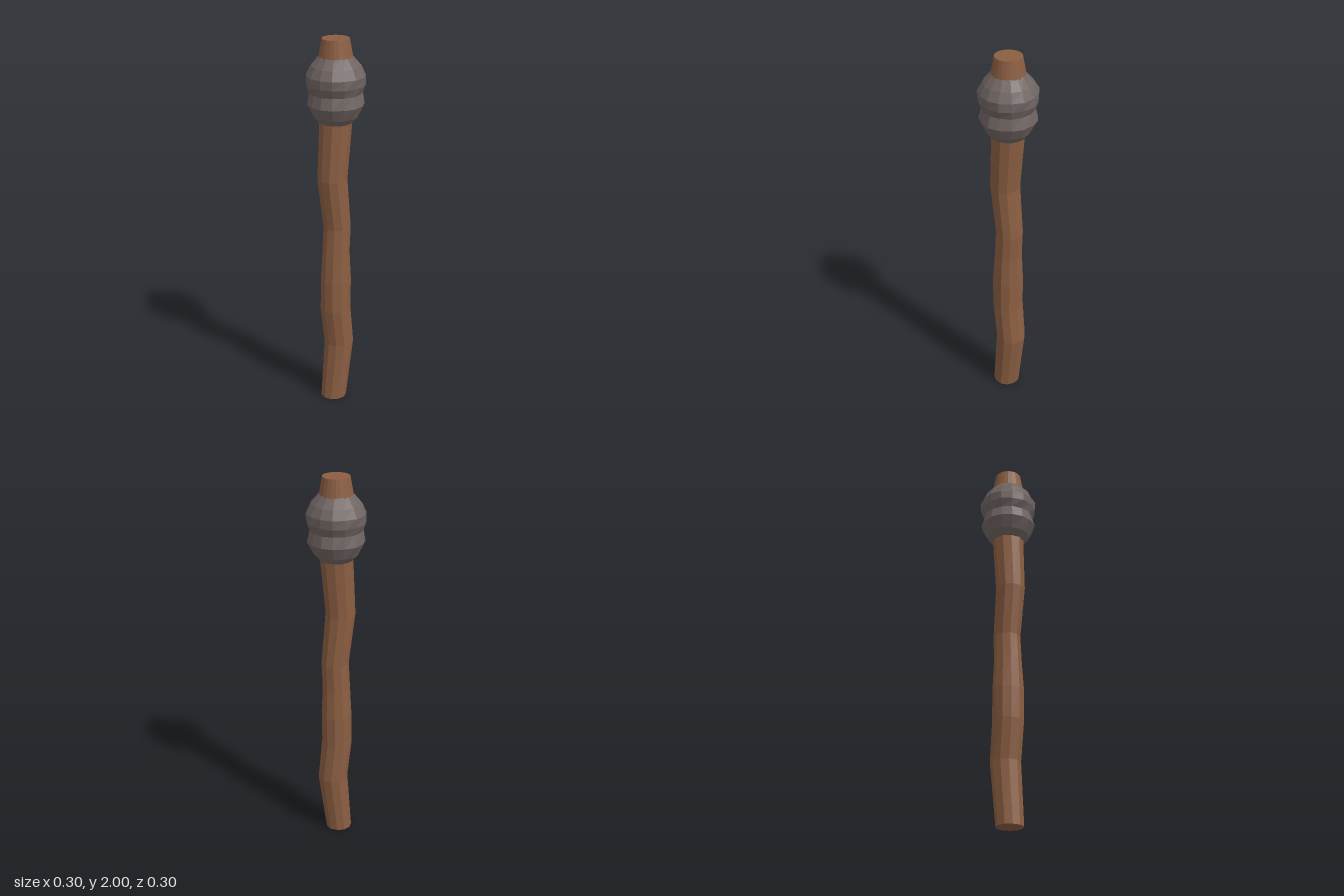
import * as THREE from 'three';

// Flat-shaded loft through rings of [y, radius x, radius z, centre z], with end caps
function loft(rings, sides, jitter, turn = 0) {
  const pos = [], idx = [];
  rings.forEach(([y, rx, rz, cz], i) => {
    for (let j = 0; j < sides; j++) {
      const a = (j / sides) * Math.PI * 2 + turn;
      const k = 1 + jitter * Math.sin(j * 2.4 + i * 1.9);
      pos.push(Math.sin(a) * rx * k, y, cz + Math.cos(a) * rz * k);
    }
  });
  for (let i = 0; i < rings.length - 1; i++) {
    for (let j = 0; j < sides; j++) {
      const a = i * sides + j, b = i * sides + ((j + 1) % sides);
      idx.push(a, b, b + sides, a, b + sides, a + sides);
    }
  }
  const last = rings.length - 1;
  const bottom = pos.length / 3, top = bottom + 1;
  pos.push(0, rings[0][0], rings[0][3], 0, rings[last][0], rings[last][3]);
  for (let j = 0; j < sides; j++) {
    const n = (j + 1) % sides;
    idx.push(bottom, n, j, top, last * sides + j, last * sides + n);
  }
  const geo = new THREE.BufferGeometry();
  geo.setAttribute('position', new THREE.Float32BufferAttribute(pos, 3));
  geo.setIndex(idx);
  const flat = geo.toNonIndexed();
  flat.computeVertexNormals();
  return flat;
}

export function createModel() {
  const group = new THREE.Group();
  const wood = new THREE.MeshStandardMaterial({ color: 0x8b5e42, flatShading: true });
  const stone = new THREE.MeshStandardMaterial({ color: 0x6f6462, flatShading: true });
  const add = (name, geo, mat) => {
    const mesh = new THREE.Mesh(geo, mat);
    mesh.name = name;
    group.add(mesh);
  };

  // Crooked wooden shaft, bending forward and back
  add('shaft', loft([
    [0, 0.07, 0.07, 0.015],
    [0.33, 0.079, 0.079, -0.021],
    [0.54, 0.081, 0.08, 0.003],
    [0.71, 0.081, 0.081, 0.001],
    [0.87, 0.073, 0.073, -0.001],
    [1.01, 0.07, 0.072, -0.008],
    [1.28, 0.076, 0.078, 0.023],
    [1.59, 0.084, 0.085, 0],
    [1.91, 0.087, 0.087, 0],
  ], 11, 0.015, 0.2), wood);

  // Tapered end of the shaft above the head
  const tip = new THREE.CylinderGeometry(0.069, 0.087, 0.1, 22);
  tip.translate(0, 1.95, 0);
  add('shaftTip', tip, wood);

  // Stone head: two rounded lobes with a waist between them
  const profile = [
    [1.58, 0.085], [1.612, 0.113], [1.675, 0.145], [1.733, 0.132],
    [1.775, 0.149], [1.82, 0.15], [1.867, 0.125], [1.915, 0.083],
  ];
  add('stoneHead', loft(profile.map(([y, r]) => [y, r, r, 0]), 15, 0.018), stone);

  return group;
}
